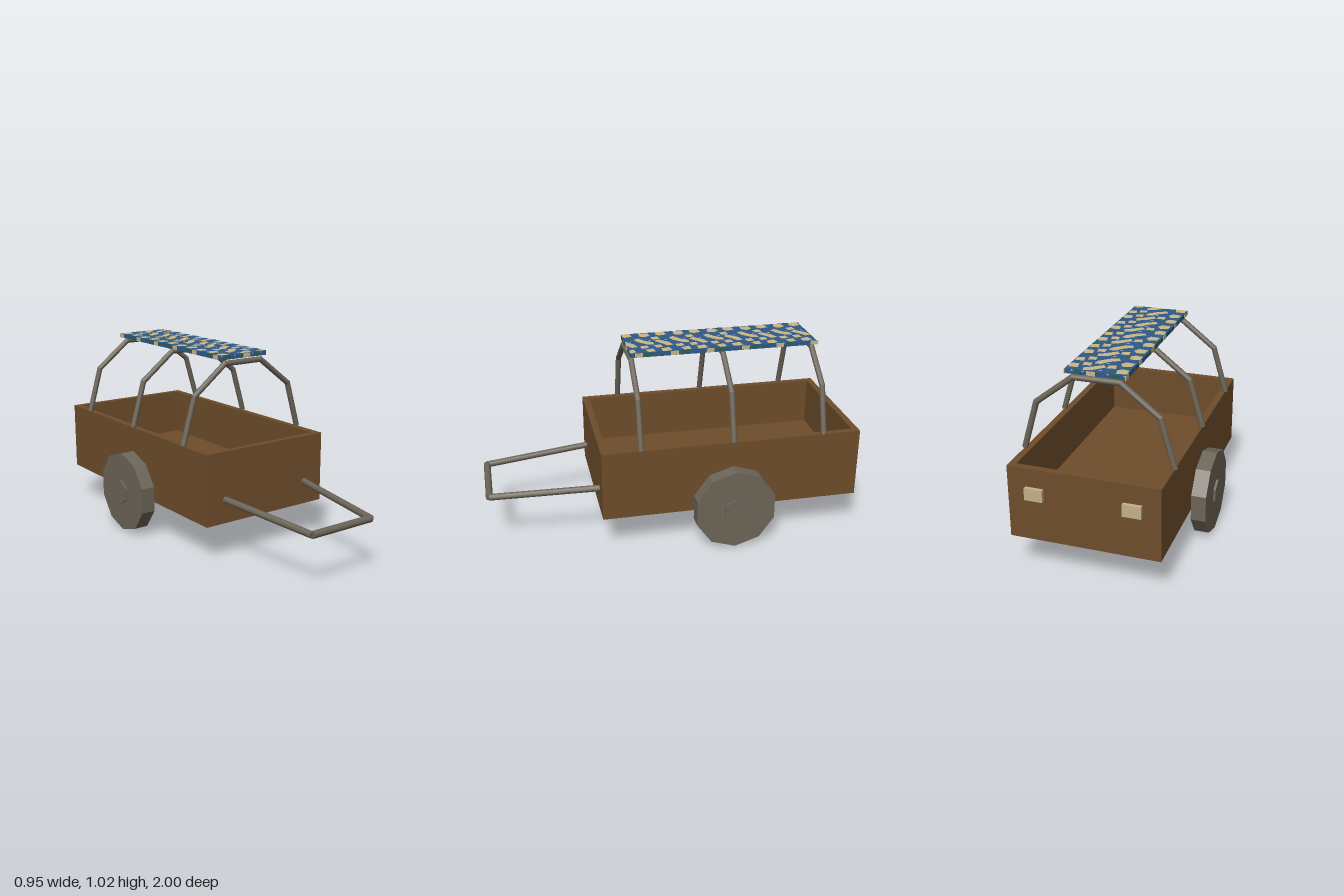
import * as THREE from 'three';
import { mergeGeometries } from 'three/addons/utils/BufferGeometryUtils.js';

const mat = (name, color) => {
  const m = new THREE.MeshStandardMaterial({ color });
  m.name = name;
  return m;
};

// Faceted normals
const facet = (g) => {
  const f = g.toNonIndexed();
  f.computeVertexNormals();
  return f;
};

// Round pipe through points, with mitred joints
function pipe(points, radius) {
  const pts = points.map((p) => new THREE.Vector3(...p));
  const dirs = pts.slice(1).map((p, i) => p.clone().sub(pts[i]).normalize());
  const parts = dirs.map((d, i) => {
    const a = pts[i], b = pts[i + 1];
    const g = new THREE.CylinderGeometry(radius, radius, a.distanceTo(b), 12);
    g.applyQuaternion(new THREE.Quaternion().setFromUnitVectors(new THREE.Vector3(0, 1, 0), d));
    const mid = a.clone().lerp(b, 0.5);
    g.translate(mid.x, mid.y, mid.z);
    const pos = g.attributes.position, v = new THREE.Vector3();
    for (let k = 0; k < pos.count; k++) {
      v.fromBufferAttribute(pos, k);
      const atEnd = v.clone().sub(mid).dot(d) > 0;
      const other = atEnd ? dirs[i + 1] : dirs[i - 1];
      if (!other) continue;
      const n = d.clone().add(other).normalize();
      v.addScaledVector(d, -v.clone().sub(atEnd ? b : a).dot(n) / d.dot(n));
      pos.setXYZ(k, v.x, v.y, v.z);
    }
    return g;
  });
  return mergeGeometries(parts);
}

export function createModel() {
  const root = new THREE.Group();
  root.name = 'handcart';
  const wood = mat('brown wood', 0x6e4d2b);
  const metal = mat('grey metal', 0x6c6558);
  const blue = mat('blue cloth', 0x2f5a8a);
  const sand = mat('sand cloth', 0xcab786);
  const green = mat('green cloth', 0x2a5f58);
  const pale = mat('pale cloth', 0xc8d2d4);
  const beige = mat('beige lamp', 0xc4b08a);

  const add = (name, geo, material, x = 0, y = 0, z = 0, parent = root) => {
    const m = new THREE.Mesh(geo, material);
    m.name = name;
    m.position.set(x, y, z);
    parent.add(m);
  };
  const box = (w, h, d) => new THREE.BoxGeometry(w, h, d);

  // Open box body: four walls as one extruded ring, plus floor
  const rect = (P, x, z) => {
    const p = new P();
    p.moveTo(-x, -z); p.lineTo(x, -z); p.lineTo(x, z); p.lineTo(-x, z); p.closePath();
    return p;
  };
  const ring = rect(THREE.Shape, 0.38, 0.695);
  ring.holes.push(rect(THREE.Path, 0.345, 0.66));
  const walls = new THREE.ExtrudeGeometry(ring, { depth: 0.378, bevelEnabled: false });
  walls.rotateX(-Math.PI / 2);
  add('bodyWalls', walls, wood, 0, 0.2, -0.285);
  add('bodyFloor', box(0.69, 0.117, 1.32), wood, 0, 0.2585, -0.285);

  // Wheels and hubs
  for (const [side, s] of [['left', 1], ['right', -1]]) {
    const disc = (name, r, w, n, x) => {
      const g = new THREE.CylinderGeometry(r, r, w, n);
      g.rotateX(Math.PI).rotateZ(Math.PI / 2);
      // turn so that a corner points straight up
      g.computeBoundingBox();
      if (g.boundingBox.max.y < r * 0.999) g.rotateX(Math.PI / n);
      add(name, facet(g), metal, s * x, 0.222, -0.285);
    };
    disc(side + 'Wheel', 0.222, 0.077, 10, 0.4235);
    disc(side + 'Hub', 0.067, 0.1, 6, 0.4235);
  }

  // Pull handle: crossbar and two side bars
  add('handleCrossbar', pipe([[-0.19, 0.2955, 0.9815], [0.19, 0.2955, 0.9815]], 0.0185), metal);
  for (const [side, s] of [['left', 1], ['right', -1]]) {
    add(side + 'HandleBar', pipe([[s * 0.19, 0.2955, 0.9815], [s * 0.264, 0.326, 0.4]], 0.0175), metal);
  }

  // Canopy hoops
  const arch = pipe([
    [-0.38, 0.58, 0], [-0.308, 0.828, 0], [-0.117, 0.977, 0],
    [0.117, 0.977, 0], [0.308, 0.828, 0], [0.38, 0.58, 0],
  ], 0.015);
  [0.205, -0.285, -0.774].forEach((z, i) => add('canopyHoop' + (i + 1), arch, metal, 0, 0, z));

  // Canopy slab
  const canopy = new THREE.Group();
  canopy.name = 'canopy';
  canopy.position.set(0, 1.0095, -0.287);
  root.add(canopy);
  add('canopySlab', box(0.3, 0.024, 1), blue, 0, 0, 0, canopy);

  // Repeating cloth blotches: corner points (x, z) within one repeat
  const repeat = 0.189;
  const sandTile = [
    [[-0.148, 0.005], [-0.1, 0], [-0.09, 0.04], [-0.11, 0.06], [-0.148, 0.052]],
    [[-0.14, 0.1], [-0.1, 0.09], [-0.08, 0.12], [-0.095, 0.15], [-0.143, 0.145]],
    [[-0.078, 0.055], [-0.036, 0.05], [-0.032, 0.088], [-0.07, 0.095]],
    [[-0.066, 0.16], [-0.02, 0.13], [0.008, 0.093], [0.042, 0.093], [0.036, 0.128], [-0.008, 0.17], [-0.05, 0.188]],
    [[-0.03, 0.058], [0.018, 0.01], [0.062, -0.005], [0.07, 0.027], [0.034, 0.05], [-0.01, 0.085]],
    [[0.046, 0.06], [0.086, 0.055], [0.092, 0.093], [0.052, 0.098]],
    [[0.05, 0.136], [0.088, 0.13], [0.094, 0.168], [0.056, 0.175]],
    [[0.096, 0.026], [0.135, 0.015], [0.149, 0.038], [0.147, 0.07], [0.106, 0.07]],
    [[0.098, 0.11], [0.143, 0.105], [0.148, 0.143], [0.112, 0.155]],
  ];
  const greenTile = [
    [[-0.149, 0.066], [-0.125, 0.07], [-0.125, 0.09], [-0.149, 0.09]],
    [[-0.085, 0.02], [-0.067, 0.015], [-0.066, 0.035], [-0.083, 0.04]],
    [[0.13, 0.165], [0.149, 0.16], [0.149, 0.18], [0.13, 0.185]],
  ];
  const paleTile = [
    [[-0.03, 0.105], [-0.014, 0.1], [-0.014, 0.106], [-0.03, 0.111]],
    [[-0.025, 0.02], [-0.01, 0.015], [-0.01, 0.021], [-0.025, 0.026]],
  ];
  const blotches = (name, tile, material) => {
    const shapes = [];
    for (let k = 0; k < 6; k++) {
      for (const poly of tile) {
        const pts = poly.map(([x, z]) =>
          new THREE.Vector2(x, -Math.min(z + k * repeat - 0.495, 0.499)));
        const depth = pts.map((p) => p.y);
        if (Math.max(...depth) - Math.min(...depth) > 0.005) shapes.push(new THREE.Shape(pts));
      }
    }
    const top = new THREE.ShapeGeometry(shapes).rotateX(-Math.PI / 2);
    const under = new THREE.ShapeGeometry(shapes).rotateX(Math.PI / 2);
    add(name + 'Top', top, material, 0, 0.0132, 0, canopy);
    add(name + 'Under', under, material, 0, -0.0132, 0, canopy);
  };
  blotches('sandBlotches', sandTile, sand);
  blotches('greenBlotches', greenTile, green);
  blotches('paleSpecks', paleTile, pale);

  // Blotches along the canopy edges
  for (const s of [1, -1]) {
    for (let k = 0; k < 6; k++) {
      const z = 0.456 - k * repeat;
      add('sandSideEdge', box(0.003, 0.022, 0.042), sand, s * 0.15, 0, z, canopy);
      if (k < 5) add('greenSideEdge', box(0.003, 0.022, 0.035), green, s * 0.15, 0, z - 0.055, canopy);
    }
    const endEdge = (name, material, x, y, w, h) =>
      add(name, box(w, h, 0.003), material, x, y, s * 0.5, canopy);
    endEdge('sandEndEdge', sand, 0.022, 0, 0.045, 0.022);
    endEdge('greenEndEdge', green, -0.1, 0, 0.04, 0.022);
    endEdge('greenEndEdge', green, 0.085, 0, 0.03, 0.022);
    for (const x of [-0.143, -0.06, 0.06, 0.115]) endEdge('sandEndSpeck', sand, x, 0.006, 0.01, 0.005);
  }

  // Rear lamps
  for (const [side, s] of [['left', 1], ['right', -1]]) {
    add(side + 'RearLamp', box(0.092, 0.063, 0.022), beige, s * 0.243, 0.451, -0.989);
  }
  return root;
}
